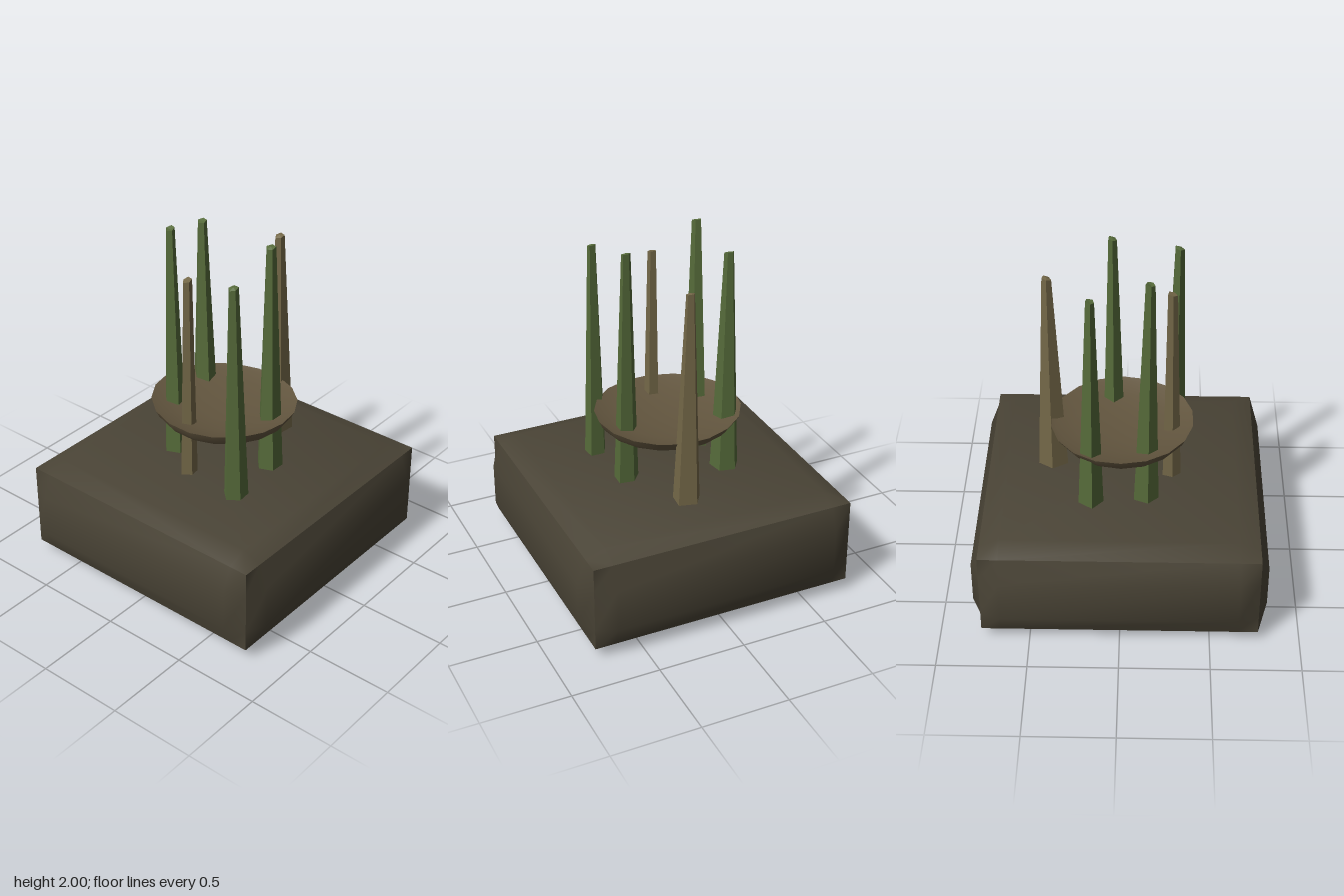
import * as THREE from 'three';
import { toCreasedNormals } from 'three/addons/utils/BufferGeometryUtils.js';

const material = (color, flatShading = false) =>
  new THREE.MeshStandardMaterial({ color, flatShading, roughness: 0.9 });

const stone = material(0x4a4436);
const clay = material(0x63563f);
const green = material(0x566b3a, true);
const straw = material(0x746848, true);

function addMesh(group, name, geometry, mat) {
  const mesh = new THREE.Mesh(geometry, mat);
  mesh.name = name;
  group.add(mesh);
  return mesh;
}

// Chunky block: a 3x3x3 box whose face centres bulge past its edges
function baseGeometry() {
  const geo = new THREE.BoxGeometry(2, 2, 2, 3, 3, 3);
  const p = geo.attributes.position;
  const inner = (v) => Math.abs(v) < 0.9;
  for (let i = 0; i < p.count; i++) {
    const c = [p.getX(i), p.getY(i), p.getZ(i)];
    const innerCount = c.filter(inner).length;
    const bulge = innerCount === 2; // vertex lies inside one face
    const side = (v) => Math.sign(v) * (inner(v) ? 0.655 : bulge ? 0.818 : 0.768);
    let y;
    if (inner(c[1])) y = c[1] > 0 ? 0.43 : 0.18;
    else if (c[1] > 0) y = bulge ? 0.607 : 0.565;
    else y = bulge ? (c[0] < 0 && c[2] > 0 ? 0 : 0.028) : 0.06; // one low corner underneath
    p.setXYZ(i, side(c[0]), y, side(c[2]));
  }
  return toCreasedNormals(geo, 0.6);
}

// Shallow dish with a slightly uneven rim
function dishGeometry() {
  const profile = [
    [0, 0.885], [0.22, 0.887], [0.36, 0.893], [0.385, 0.925], [0.402, 0.962],
    [0.375, 0.952], [0.27, 0.925], [0.14, 0.912], [0, 0.908],
  ].map(([r, y]) => new THREE.Vector2(r, y));
  const geo = new THREE.LatheGeometry(profile, 18);
  const p = geo.attributes.position;
  for (let i = 0; i < p.count; i++) {
    const x = p.getX(i), z = p.getZ(i);
    const back = Math.max(0, -z);
    const lower = p.getY(i) > 0.94 ? 0.012 * Math.max(0, x / 0.4) : 0;
    p.setXYZ(i, x, p.getY(i) - lower + back * 0.015, z - back * 0.07);
  }
  return toCreasedNormals(geo, 0.75);
}

// Tapered, irregular five-sided stalk with a small capped tip
function stalkGeometry([bx, bz, r], [tx, ty, tz], seed) {
  const y0 = 0.55;
  const geo = new THREE.CylinderGeometry(0.026, r, ty - y0, 5, 1);
  const p = geo.attributes.position;
  for (let i = 0; i < p.count; i++) {
    const x = p.getX(i), z = p.getZ(i), top = p.getY(i) > 0;
    const a = Math.atan2(z, x) + seed;
    const k = 1 + 0.1 * Math.sin(2 * a + seed);
    const rad = Math.hypot(x, z) * k;
    const drop = top ? 0.007 * (1 - Math.cos(a)) : 0; // slanted tip
    p.setXYZ(i,
      (top ? tx : bx) + rad * Math.cos(a),
      (top ? ty : y0) - drop,
      (top ? tz : bz) + rad * Math.sin(a));
  }
  geo.computeVertexNormals();
  return geo;
}

export function createModel() {
  const model = new THREE.Group();
  model.name = 'stalksOnBlock';
  addMesh(model, 'base', baseGeometry(), stone);
  addMesh(model, 'dish', dishGeometry(), clay);

  // Stalks: [base x, base z, base radius], [tip x, tip y, tip z], material
  const stalks = [
    [[-0.295, 0.31, 0.069], [-0.305, 1.89, 0.3], green],
    [[-0.28, -0.04, 0.052], [-0.267, 1.81, -0.042], straw],
    [[-0.14, -0.258, 0.073], [-0.15, 2.0, -0.258], green],
    [[0.168, -0.292, 0.081], [0.16, 1.92, -0.3], green],
    [[0.055, 0.27, 0.073], [0.058, 1.97, 0.256], green],
    [[0.4, 0.06, 0.087], [0.405, 1.845, 0.047], straw],
  ];
  const group = new THREE.Group();
  group.name = 'stalks';
  stalks.forEach(([base, tip, mat], i) =>
    addMesh(group, `stalk${i + 1}`, stalkGeometry(base, tip, i * 1.3 + 0.4), mat));
  model.add(group);
  return model;
}
